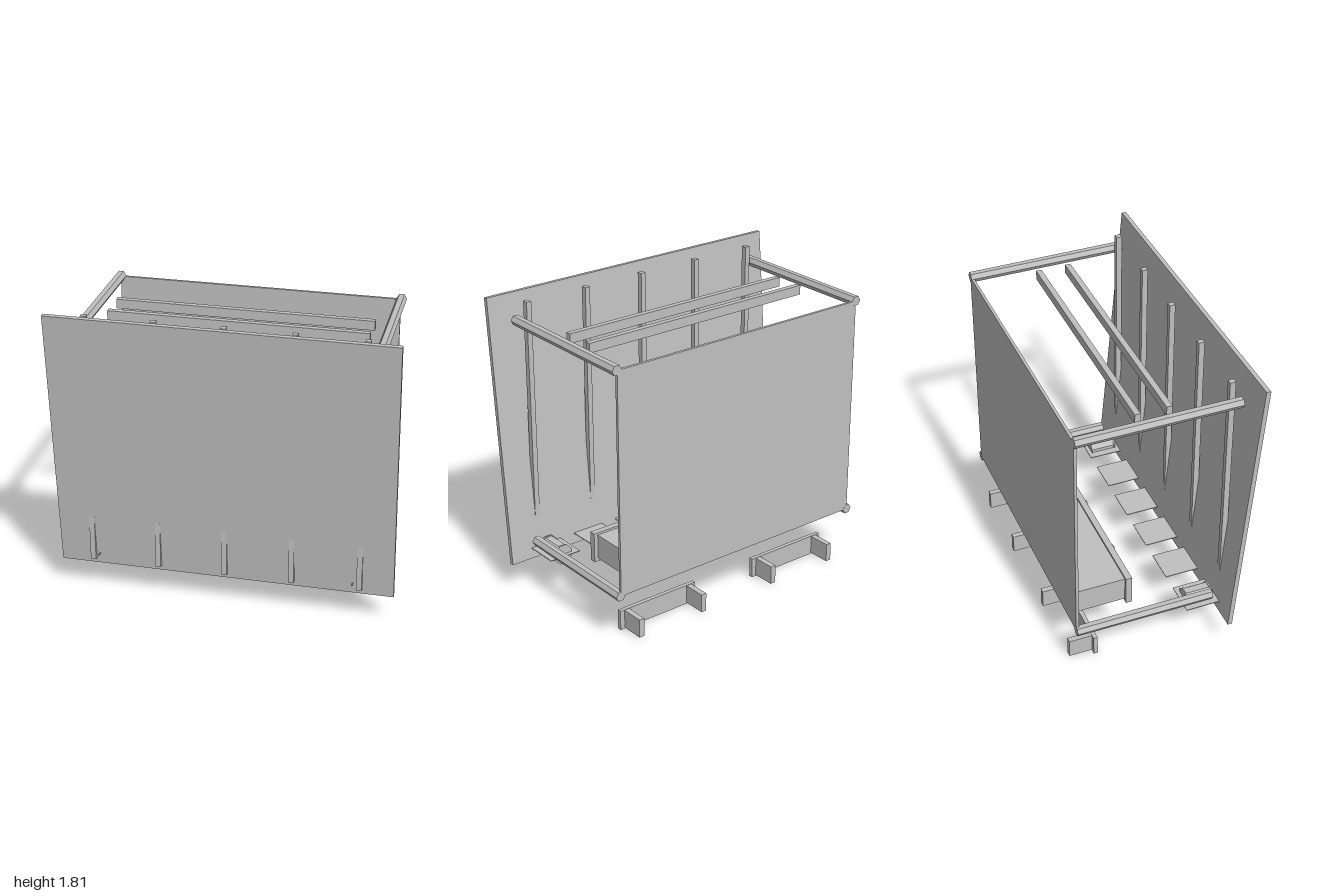
import * as THREE from 'three';

export function createModel() {
  const model = new THREE.Group();
  const grey = new THREE.MeshStandardMaterial({ color: 0xc0c0c0, flatShading: true });
  grey.name = 'grey';

  const add = (name, geometry, x, y, z) => {
    const mesh = new THREE.Mesh(geometry, grey);
    mesh.name = name;
    mesh.position.set(x, y, z);
    model.add(mesh);
    return mesh;
  };

  // Box given by its limits on each axis
  const box = (name, x0, x1, y0, y1, z0, z1) =>
    add(name, new THREE.BoxGeometry(x1 - x0, y1 - y0, z1 - z0),
      (x0 + x1) / 2, (y0 + y1) / 2, (z0 + z1) / 2);

  // Faceted bar along z with a flat side on top
  const bar = (name, x, y, z0, z1, radius, sides) => {
    const geometry = new THREE.CylinderGeometry(radius, radius, z1 - z0, sides);
    geometry.rotateY(Math.PI / sides).rotateX(Math.PI / 2);
    return add(name, geometry, x, y, (z0 + z1) / 2);
  };

  // Large front panel, leaning forward at the top
  const panel = add('frontPanel', new THREE.BoxGeometry(2, 1.632, 0.027), 0, 0.993, 0.441);
  panel.rotation.x = THREE.MathUtils.degToRad(5);

  // Upright posts through the panel
  for (const x of [-0.8, -0.4, 0, 0.4, 0.8]) {
    box('post', x - 0.016, x + 0.016, 0.213, 1.775, 0.378, 0.412);
  }

  // Back wall
  box('backWall', -0.855, 0.855, 0.318, 1.665, -0.525, -0.508);

  // Side rails, upper and lower
  for (const side of [-1, 1]) {
    bar('upperRail', side * 0.857, 1.665, -0.526, 0.436, 0.031, 6);
    bar('lowerRail', side * 0.857, 0.318, -0.526, 0.31, 0.031, 6);
  }

  // Cross beams near the top
  for (const z of [-0.129, 0.054]) {
    box('crossBeam', -0.765, 0.762, 1.62, 1.677, z - 0.017, z + 0.017);
  }

  // Wide drawer with knobs
  box('drawerBody', -0.78, 0.776, 0.39, 0.54, -0.51, -0.2);
  box('drawerFront', -0.8, 0.8, 0.373, 0.553, -0.2, -0.163);
  for (const x of [-0.436, 0, 0.436]) {
    bar('knobStem', x, 0.465, -0.165, -0.145, 0.017, 8);
    bar('knob', x, 0.465, -0.147, -0.13, 0.025, 8);
  }

  // Two low feet: a front board with a block behind each end
  for (const x of [-0.493, 0.49]) {
    box('footBoard', x - 0.271, x + 0.271, 0, 0.122, -0.385, -0.36);
    for (const side of [-1, 1]) {
      const legX = x + side * 0.225;
      box('footBlock', legX - 0.017, legX + 0.017, 0.006, 0.12, -0.525, -0.385);
    }
  }

  // Row of thin square plates below the panel
  for (let i = 0; i < 6; i++) {
    const x = -0.765 + i * 0.305;
    box('squarePlate', x - 0.102, x + 0.102, 0.244, 0.249, 0.155, 0.36);
  }

  // Rollers on the two outer plates, with end rims and an axle pin
  for (const x of [-0.764, 0.76]) {
    bar('roller', x, 0.247, 0.185, 0.335, 0.059, 8);
    bar('rollerRim', x, 0.247, 0.18, 0.19, 0.064, 8);
    bar('rollerRim', x, 0.247, 0.33, 0.34, 0.064, 8);
    bar('axlePin', x, 0.247, 0.335, 0.42, 0.004, 6);
  }

  return model;
}
